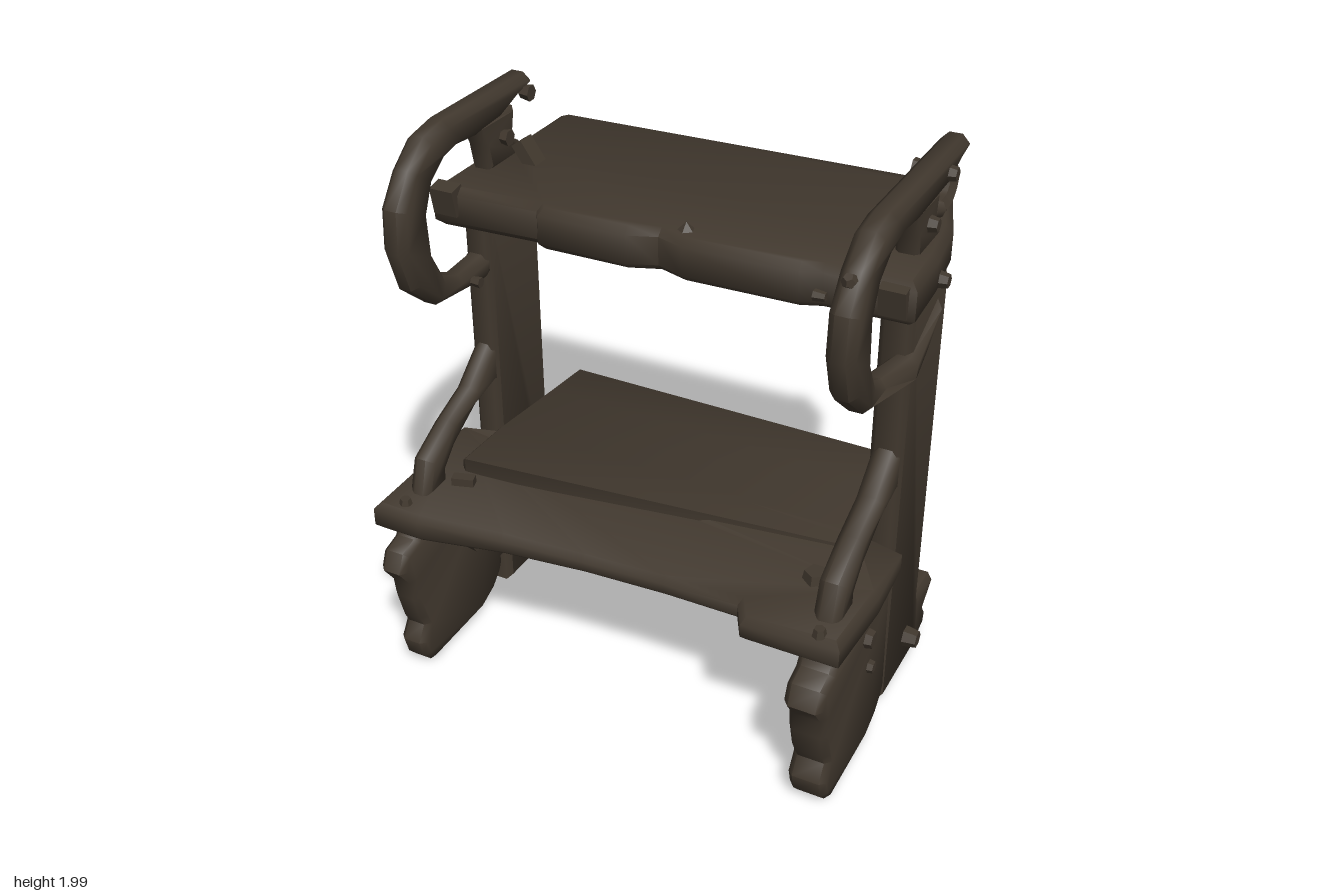
import * as THREE from 'three';
import { toCreasedNormals } from 'three/addons/utils/BufferGeometryUtils.js';

const wood = new THREE.MeshStandardMaterial({ color: 0x41382e });
wood.name = 'dark weathered wood';

export function createModel() {
  const model = new THREE.Group();

  const add = (name, geo) => {
    const mesh = new THREE.Mesh(toCreasedNormals(geo, 0.9), wood);
    mesh.name = name;
    model.add(mesh);
  };

  // Extrude an outline with a small bevel that keeps the outer size
  const slab = (pts, thick, b) => {
    const shape = new THREE.Shape(pts.map(p => new THREE.Vector2(p[0], p[1])));
    const geo = new THREE.ExtrudeGeometry(shape, {
      depth: thick - 2 * b, bevelEnabled: true, bevelThickness: b,
      bevelSize: b, bevelOffset: -b, bevelSegments: 1,
    });
    return geo.translate(0, 0, b);
  };
  // Outline in (z, y), running from x0 to x1
  const sideSlab = (pts, x0, x1, b = 0.015) =>
    slab(pts, x1 - x0, b).rotateY(-Math.PI / 2).translate(x1, 0, 0);
  // Outline in (x, z), running from y0 to y1
  const topSlab = (pts, y0, y1, b = 0.018) =>
    slab(pts, y1 - y0, b).rotateX(Math.PI / 2).translate(0, y1, 0);
  // Move every vertex by a rule
  const warp = (geo, rule) => {
    const p = geo.attributes.position;
    const v = new THREE.Vector3();
    for (let i = 0; i < p.count; i++) {
      rule(v.fromBufferAttribute(p, i));
      p.setXYZ(i, v.x, v.y, v.z);
    }
    return geo;
  };
  // Faceted pegs: along x or along y
  const peg = (x, y, z, r = 0.04, len = 0.05, upright = false) => {
    const geo = new THREE.CylinderGeometry(r * 0.75, r, len, 6);
    if (!upright) geo.rotateZ(x > 0 ? -Math.PI / 2 : Math.PI / 2);
    add('peg', geo.translate(x, y, z));
  };

  // Outlines of the side parts, in (z, y)
  const postOutline = [[0, 0.01], [-0.33, 0.01], [-0.36, 0.02], [-0.45, 0.05], [-0.46, 0.11],
    [-0.43, 0.14], [-0.52, 0.21], [-0.51, 0.235], [-0.35, 0.235], [-0.335, 0.27],
    [-0.33, 1.6], [0, 1.6]];
  const legOutline = [[0.06, 0.59], [0.04, 0.14], [0.06, 0.1], [0.11, 0.05], [0.2, 0.01],
    [0.53, 0.005], [0.57, 0.05], [0.59, 0.12], [0.55, 0.18], [0.57, 0.22], [0.6, 0.33],
    [0.61, 0.41], [0.66, 0.48], [0.63, 0.55], [0.56, 0.57], [0.54, 0.6]];
  const panelOutline = [[-0.02, 0.6], [-0.02, 0.14], [0.08, 0.14], [0.1, 0.6]];
  const braceOutline = [[0.33, 0.68], [0.47, 0.68], [0.43, 0.82], [0.28, 0.9], [0.13, 0.96],
    [0, 1.07], [-0.04, 1.09], [-0.04, 0.9], [0, 0.91], [0.13, 0.88], [0.27, 0.8], [0.33, 0.74]];
  const handleOutline = tip => [[tip, 1.95], [tip + 0.04, 1.99], [0.17, 1.99], [0.28, 1.97],
    [0.38, 1.89], [0.46, 1.78], [0.47, 1.63], [0.42, 1.48], [0.29, 1.37], [0, 1.335],
    [-0.1, 1.4], [-0.23, 1.53], [0, 1.43], [0.15, 1.42], [0.24, 1.46], [0.3, 1.57],
    [0.31, 1.72], [0.27, 1.81], [0.2, 1.86], [0.1, 1.88], [-0.02, 1.87], [tip + 0.22, 1.88],
    [tip + 0.1, 1.92]];
  const bracketOutline = [[-0.01, 1.9], [-0.05, 1.81], [-0.07, 1.72], [-0.28, 1.72],
    [-0.27, 1.76], [-0.22, 1.79], [-0.24, 1.9]];

  for (const s of [-1, 1]) {
    const a = s < 0 ? -0.825 : 0.715;
    const b = s < 0 ? -0.72 : 0.83;
    add('post', sideSlab(postOutline, a, b, 0.02));
    add('frontLeg', sideSlab(legOutline, a, b + (s > 0 ? 0.02 : 0), 0.02));
    add('legPanel', sideSlab(panelOutline, a + 0.015, b - 0.015));
    add('curvedBrace', sideSlab(braceOutline, a + 0.01, b - 0.01, 0.025));
    // The left handle's foot laps over the outside of its post
    add('loopHandle', warp(sideSlab(handleOutline(s < 0 ? -0.37 : -0.52), a, a + 0.095, 0.025),
      v => { if (s > 0 && v.z < 0.05 && v.y < 1.6) v.x += 0.045; }));
    add('handleBracket', sideSlab(bracketOutline, a + 0.01, a + 0.09));

    // Pegs through the post and handle
    for (const side of [-1, 1]) {
      peg(side < 0 ? a - 0.015 : b + 0.015, 0.15, -0.22, 0.042, 0.07);
      const x = side < 0 ? a - 0.005 : a + 0.1;
      peg(x, 1.93, -0.3, 0.03, 0.04);
      peg(x, 1.82, -0.15, 0.03, 0.04);
    }
    // Pegs on the leg and shelf
    peg(s * 0.85, s < 0 ? 0.39 : 0.51, 0.27, 0.04, 0.05);
    peg(s * 0.85, 0.36, 0.23, 0.028, 0.04);
    peg(s * 0.865, 1.64, -0.15, 0.03, 0.04);
    peg(s * 0.7, 0.39, 0.27, 0.035, 0.06);
    peg(s * 0.78, 0.7, 0.53, 0.025, 0.03, true);

    // Splintered chip beside the bracket
    add('splinter', new THREE.BoxGeometry(0.045, s < 0 ? 0.1 : 0.06, 0.07)
      .rotateZ(s * -0.6).translate(s * 0.665, 1.755, s < 0 ? -0.2 : -0.26));
    add('frontBlock', new THREE.BoxGeometry(0.09, 0.1, 0.06)
      .rotateX(0.2).translate(s * 0.8, 1.68, 0.11));
  }

  // Curled hook behind the left handle
  const curl = new THREE.CatmullRomCurve3([[1.9, -0.4], [1.895, -0.44], [1.84, -0.445],
    [1.79, -0.4], [1.785, -0.34]].map(p => new THREE.Vector3(0.76, p[0], p[1])));
  add('curledHook', new THREE.TubeGeometry(curl, 8, 0.036, 6));
  for (const i of [0, 1]) {
    const c = curl.getPoint(i);
    add('hookEnd', new THREE.SphereGeometry(0.036, 6, 4).translate(c.x, c.y, c.z));
  }
  peg(-0.72, 1.38, 0.1, 0.02, 0.05);
  add('handleKnot', new THREE.DodecahedronGeometry(0.025).translate(0.76, 1.87, 0.41));

  // Upper shelf with worn corners, tilted slightly sideways
  const shelf = topSlab([[-0.8, -0.62], [-0.77, -0.66], [0.58, -0.66], [0.73, -0.62],
    [0.77, -0.5], [0.83, -0.33], [0.86, -0.1], [0.87, 0.12], [0.57, 0.12], [0.5, 0.145],
    [0.1, 0.145], [0, 0.11], [-0.1, 0.145], [-0.43, 0.14], [-0.45, 0.11], [-0.85, 0.12],
    [-0.85, -0.33], [-0.8, -0.36]], 1.585, 1.735, 0.025);
  add('upperShelf', warp(shelf, v => { v.y += v.x * 0.014; }));
  add('shelfKnot', new THREE.ConeGeometry(0.05, 0.05, 5).translate(0.08, 1.74, 0.07));
  peg(0.57, 1.65, 0.14, 0.02, 0.04);

  // Lower front plank: broken front edge, sagging there and raised along its middle back
  const plank = topSlab([[-0.89, 0], [-0.7, 0], [0.7, 0], [0.86, 0], [0.875, 0.25],
    [0.86, 0.56], [0.52, 0.56], [0.47, 0.47], [0.2, 0.47], [-0.1, 0.485], [-0.4, 0.52],
    [-0.7, 0.585], [-0.88, 0.585]], 0.585, 0.695, 0.022);
  add('frontPlank', warp(plank, v => {
    if (v.y < 0.64 || Math.abs(v.x) > 0.75) return;
    if (v.z < 0.1) v.y += 0.03;
    else v.y -= 0.035 * (1 - (v.x / 0.75) ** 2);
  }));
  add('plankPeg', new THREE.CylinderGeometry(0.04, 0.05, 0.05, 5).translate(0.66, 0.695, 0.27));
  add('plankChip', new THREE.BoxGeometry(0.08, 0.03, 0.04).rotateY(0.3).translate(-0.67, 0.705, 0.33));

  // Lower rear board, its front edge skewed across the width
  const board = sideSlab([[0.26, 0.74], [0, 0.735], [-0.35, 0.7], [-0.57, 0.68],
    [-0.61, 0.65], [-0.605, 0.55], [-0.57, 0.52], [-0.3, 0.525], [0, 0.57], [0.26, 0.66]],
  -0.73, 0.73, 0.02);
  add('rearBoard', warp(board, v => {
    if (v.z > 0.1) v.z -= (v.x + 0.73) * 0.11;
    v.y -= (v.x + 0.73) * 0.01;
  }));

  // Cleat under the rear board and the inner hanging brace
  add('rearCleat', sideSlab([[-0.2, 0.6], [-0.2, 0.44], [-0.54, 0.44], [-0.58, 0.48],
    [-0.6, 0.6]], 0.61, 0.72));
  add('innerBrace', sideSlab([[-0.02, 0.6], [-0.02, 0.3], [-0.06, 0.27], [-0.16, 0.27],
    [-0.2, 0.34], [-0.2, 0.6]], 0.6, 0.72));
  add('bracePeg', new THREE.CylinderGeometry(0.035, 0.04, 0.05, 6)
    .rotateX(Math.PI / 2).translate(0.655, 0.36, -0.01));

  return model;
}
